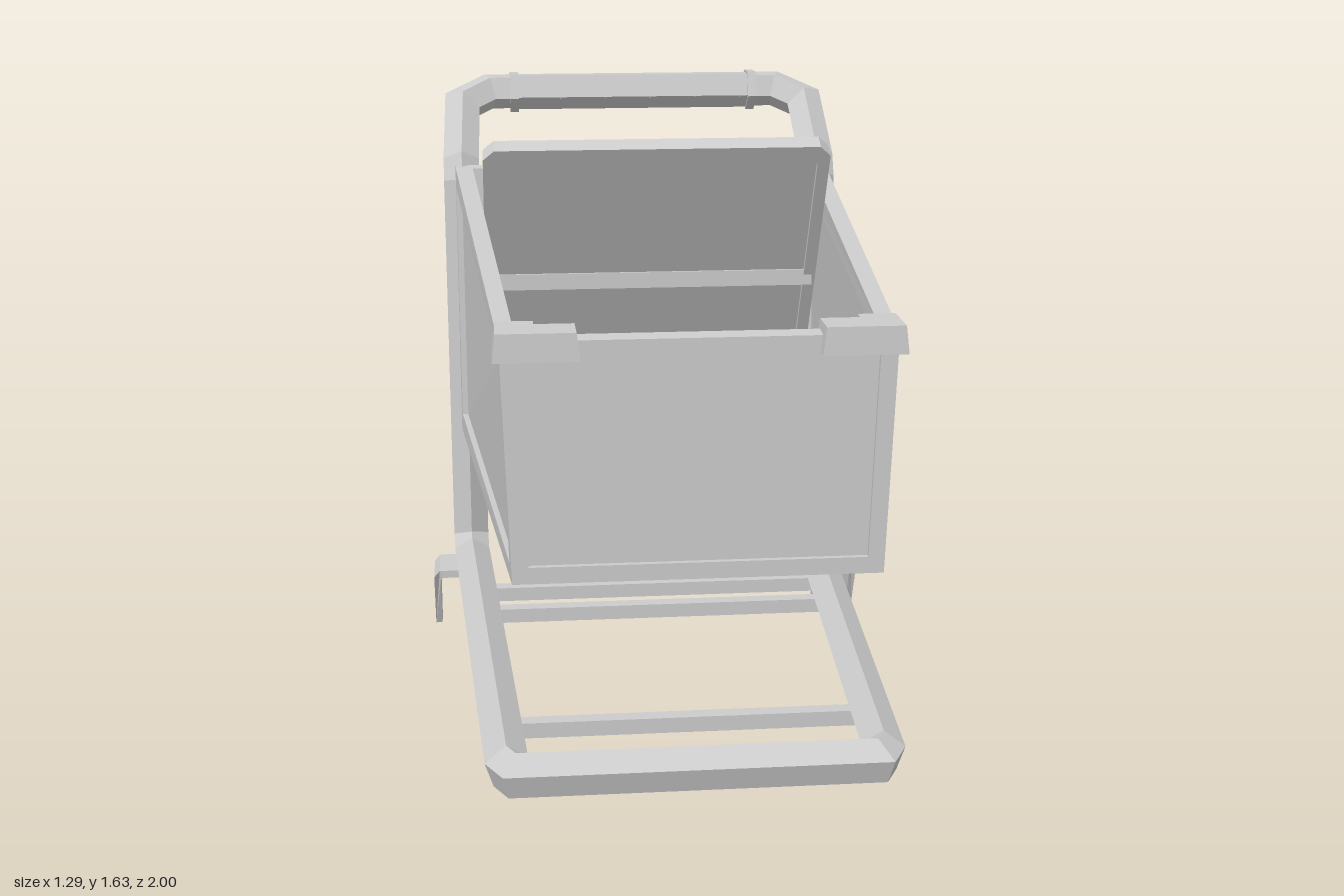
import * as THREE from 'three';

const mat = new THREE.MeshStandardMaterial({ color: 0xcccccc, flatShading: true, side: THREE.DoubleSide });
const lerp = THREE.MathUtils.lerp;
const V = (x, y, z) => new THREE.Vector3(x, y, z);

function add(parent, name, geo) {
  const m = new THREE.Mesh(geo, mat);
  m.name = name;
  parent.add(m);
  return m;
}

// Move every vertex of a geometry by a rule
function warp(geo, rule) {
  const p = geo.attributes.position;
  for (let i = 0; i < p.count; i++) p.setXYZ(i, ...rule(p.getX(i), p.getY(i), p.getZ(i)));
  geo.computeVertexNormals();
  return geo;
}

// Mitred sweep of a regular polygon round a closed path; one corner points along up
function sweepLoop(pts, r, sides, up) {
  const n = pts.length, pos = [], idx = [];
  const dir = pts.map((p, i) => pts[(i + 1) % n].clone().sub(p).normalize());
  const b = dir[0].clone().cross(up);
  let ring = [];
  for (let k = 0; k < sides; k++) {
    const a = (k / sides) * Math.PI * 2;
    ring.push(pts[0].clone().addScaledVector(up, r * Math.cos(a)).addScaledVector(b, r * Math.sin(a)));
  }
  ring.forEach(q => pos.push(q.x, q.y, q.z));
  for (let i = 1; i <= n; i++) {
    const d = dir[i - 1], p = pts[i % n], t = d.clone().add(dir[i % n]).normalize();
    ring = ring.map(q => q.clone().addScaledVector(d, p.clone().sub(q).dot(t) / d.dot(t)));
    ring.forEach(q => pos.push(q.x, q.y, q.z));
    for (let k = 0; k < sides; k++) {
      const k1 = (k + 1) % sides, A = (i - 1) * sides, B = i * sides;
      idx.push(A + k, A + k1, B + k1, A + k, B + k1, B + k);
    }
  }
  const g = new THREE.BufferGeometry();
  g.setAttribute('position', new THREE.Float32BufferAttribute(pos, 3));
  g.setIndex(idx);
  g.computeVertexNormals();
  return g;
}

// Block inside the tapered basket: u -1..1 across, v 0..1 up, w 0..1 back to front
function basketBlock(u0, u1, v0, v1, w0, w1) {
  return warp(new THREE.BoxGeometry(1, 1, 1), (x, y, z) => {
    const u = lerp(u0, u1, x + 0.5), v = lerp(v0, v1, y + 0.5), w = lerp(w0, w1, z + 0.5);
    return [
      u * lerp(0.55, lerp(0.43, 0.45, v), w),
      lerp(lerp(0.59, 0.67, w), lerp(1.39, 1.24, w), v),
      lerp(lerp(-0.61, -0.65, v), 0.95, w),
    ];
  });
}

function polygon(points) {
  return new THREE.Shape(points.map(([x, y]) => new THREE.Vector2(x, y)));
}

// Rectangle hanging below y = 0 with cut corners
function cutRect(hw, top, bottom, c) {
  return [[-hw + c, bottom], [hw - c, bottom], [hw, bottom + c], [hw, top - c],
    [hw - c, top], [-hw + c, top], [-hw, top - c], [-hw, bottom + c]];
}

export function createModel() {
  const cart = new THREE.Group();
  cart.name = 'shoppingCart';

  // Five-sided tube: base, posts and handle in one loop
  const half = [V(0.43, 0.195, 0.948), V(0.452, 0.195, 0.905), V(0.53, 0.195, -0.6), V(0.532, 0.24, -0.648),
    V(0.532, 1.34, -0.667), V(0.532, 1.395, -0.695), V(0.525, 1.54, -0.887), V(0.44, 1.575, -0.937)];
  const mirrored = half.map(p => V(-p.x, p.y, p.z)).reverse();
  add(cart, 'tubeFrame', sweepLoop([V(0, 0.195, 0.948), ...half, V(0, 1.575, -0.937), ...mirrored], 0.055, 5, V(0, 1, 0)));

  // Handle grip with end bands
  for (const [name, x, len, r] of [['grip', 0, 0.72, 0.058], ['gripBand', 0.365, 0.025, 0.066], ['gripBand', -0.365, 0.025, 0.066]]) {
    const grip = add(cart, name, new THREE.CylinderGeometry(r, r, len, 5).rotateZ(Math.PI / 2));
    grip.position.set(x, 1.575, -0.937);
    grip.rotation.x = -0.97;
  }

  // Cross bars of the lower rack
  for (const z of [0.67, -0.1, -0.27]) {
    const w = 2 * (0.452 + 0.052 * (0.905 - z));
    add(cart, 'rackBar', new THREE.BoxGeometry(w, 0.04, 0.04)).position.set(0, 0.185, z);
  }

  // Basket: bars along all twelve edges, thin recessed panels between
  const basket = new THREE.Group();
  basket.name = 'basket';
  cart.add(basket);
  const U = 0.09, T = 0.07, W = 0.028;
  for (const s of [-1, 1]) {
    const u = [s - (s > 0 ? U : 0), s + (s < 0 ? U : 0)];
    for (const v of [0, 1 - T]) add(basket, 'sideRail', basketBlock(...u, v, v + T, 0, 1));
    for (const w of [0, 1 - W]) add(basket, 'cornerPost', basketBlock(...u, T, 1 - T, w, w + W));
    const c = s * (1 - U / 2);
    add(basket, 'sidePanel', basketBlock(c - 0.015, c + 0.015, T, 1 - T, W, 1 - W));
  }
  for (const w of [0, 1 - W]) {
    for (const v of [0, 1 - T]) add(basket, 'endRail', basketBlock(-1 + U, 1 - U, v, v + T, w, w + W));
    add(basket, 'endPanel', basketBlock(-1 + U, 1 - U, T, 1 - T, w + 0.01, w + 0.018));
  }
  add(basket, 'floorPanel', basketBlock(-1 + U, 1 - U, 0.025, 0.045, W, 1 - W));

  // L-shaped bumpers on the front corners
  for (const s of [-1, 1]) {
    const shape = polygon([[0.27, -0.985], [0.465, -0.985], [0.465, -0.85], [0.37, -0.85], [0.37, -0.885], [0.27, -0.885]]);
    const geo = new THREE.ExtrudeGeometry(shape, { depth: 0.065, bevelEnabled: false }).rotateX(-Math.PI / 2);
    warp(geo, (x, y, z) => [lerp(x, 0.37, y * 1.2), y, lerp(z, 0.93, y * 1.2)]);
    const bumper = add(cart, 'cornerBumper', geo);
    bumper.position.y = 1.2;
    bumper.scale.x = s;
  }

  // Slanted seat flap reaching down to the basket floor, with its shelf
  const flap = new THREE.Group();
  flap.name = 'seatFlap';
  flap.position.set(0, 1.525, -0.085);
  flap.rotation.x = 0.507;
  cart.add(flap);
  const rim = polygon(cutRect(0.47, 0, -1.01, 0.03));
  rim.holes.push(new THREE.Path(cutRect(0.437, -0.033, -0.977, 0.025).map(([x, y]) => new THREE.Vector2(x, y))));
  add(flap, 'flapRim', new THREE.ExtrudeGeometry(rim, { depth: 0.046, bevelEnabled: false }).translate(0, 0, -0.023));
  add(flap, 'flapPanel', new THREE.BoxGeometry(0.88, 0.95, 0.018)).position.set(0, -0.505, 0);
  add(cart, 'seatShelf', new THREE.BoxGeometry(0.92, 0.045, 0.33)).position.set(0, 1.11, -0.45);

  // Rear forks: bent strips narrowing towards the ground
  for (const s of [-1, 1]) {
    const strip = polygon([[0.53, 0], [0.55, 0], [0.55, 0.172], [0.618, 0.172], [0.626, 0.162], [0.626, 0],
      [0.645, 0], [0.645, 0.175], [0.628, 0.195], [0.545, 0.195], [0.53, 0.18]]);
    const geo = new THREE.ExtrudeGeometry(strip, { depth: 1, bevelEnabled: false });
    warp(geo, (x, y, z) => {
      const t = Math.min(1, y / 0.175);
      return [x, y, lerp(lerp(-0.58, -0.587, t), lerp(-0.515, -0.44, t), z)];
    });
    add(cart, 'rearFork', geo).scale.x = s;
  }
  return cart;
}
